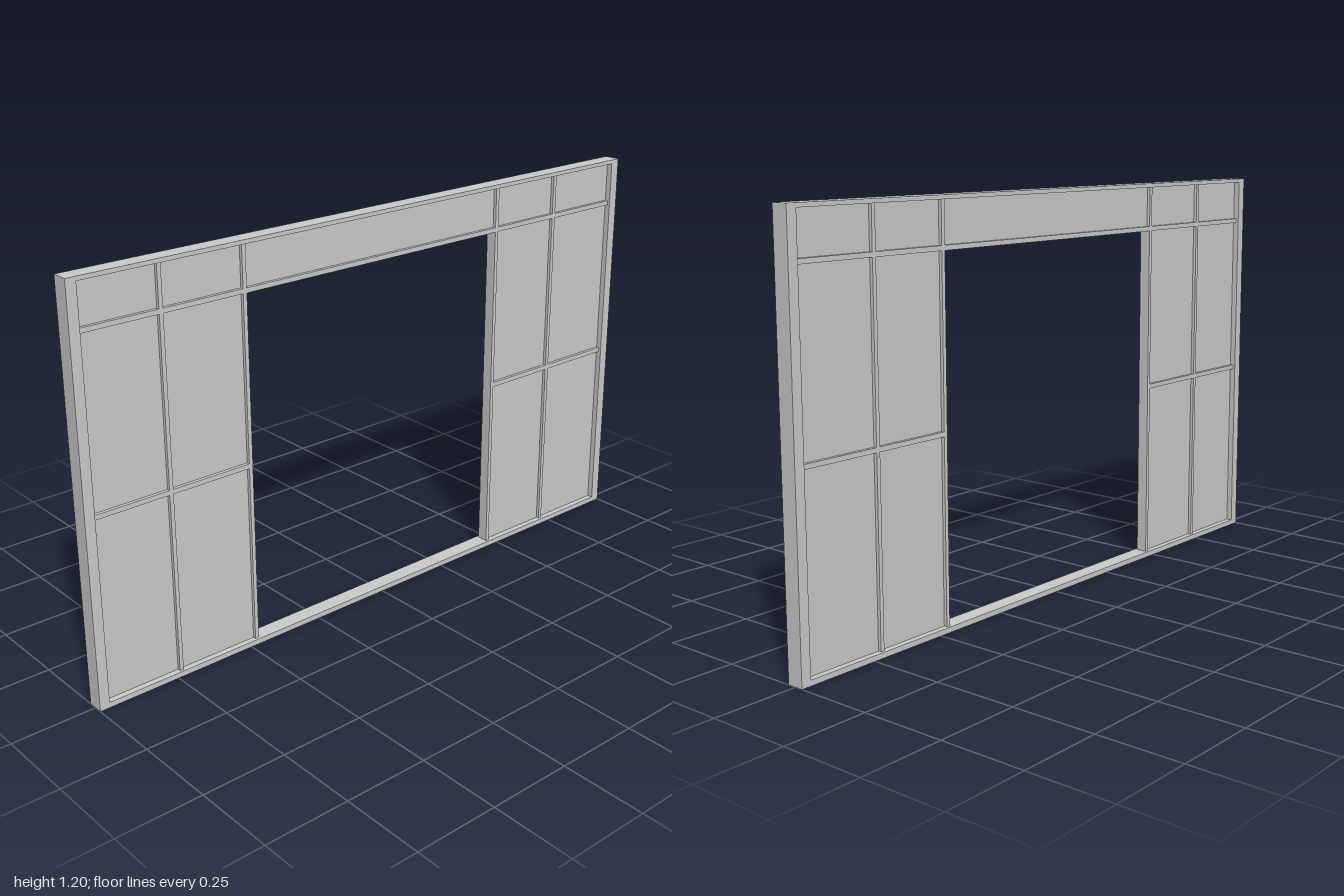
import * as THREE from 'three';

export function createModel() {
  const group = new THREE.Group();
  group.name = 'partitionWall';
  const material = new THREE.MeshStandardMaterial({ color: 0xcccccc });

  // Box given by its x and y limits and its depth, centred on z = 0
  function bar(name, x0, x1, y0, y1, depth) {
    const mesh = new THREE.Mesh(new THREE.BoxGeometry(x1 - x0, y1 - y0, depth), material);
    mesh.position.set((x0 + x1) / 2, (y0 + y1) / 2, 0);
    mesh.name = name;
    group.add(mesh);
  }

  const W = 1, H = 1.2, D = 0.05;
  const stile = 0.03, sill = 0.016, head = 0.012;
  const half = 0.006;                 // half a mullion's width
  const barDepth = 0.034, glassDepth = 0.014;
  const mullions = [-0.734, -0.474, 0.463, 0.714];
  const top = H - head;
  const transoms = [0.552, 1.053];    // lower edges
  const barHeight = 0.014;

  // Outer frame
  bar('sill', -W, W, 0, sill, D);
  bar('headRail', -W, W, top, H, D);
  bar('rightStile', -W, -W + stile, sill, top, D);
  bar('leftStile', W - stile, W, sill, top, D);

  // Upright mullions
  for (const x of mullions) bar('mullion', x - half, x + half, sill, top, barDepth);

  // Bays between uprights: transoms and panes; the middle bay is the open doorway
  const edges = [-W + stile - half, ...mullions, W - stile + half];
  for (let i = 0; i < edges.length - 1; i++) {
    const x0 = edges[i] + half, x1 = edges[i + 1] - half;
    const doorway = i === 2;
    const rails = doorway ? [transoms[1]] : transoms;
    let y = sill;
    rails.forEach((r) => {
      if (!doorway) bar('pane', x0, x1, y, r, glassDepth);
      bar(doorway ? 'doorLintel' : 'transom', x0, x1, r, r + barHeight, barDepth);
      y = r + barHeight;
    });
    bar(doorway ? 'overDoorPane' : 'topPane', x0, x1, y, top, glassDepth);
  }
  return group;
}
